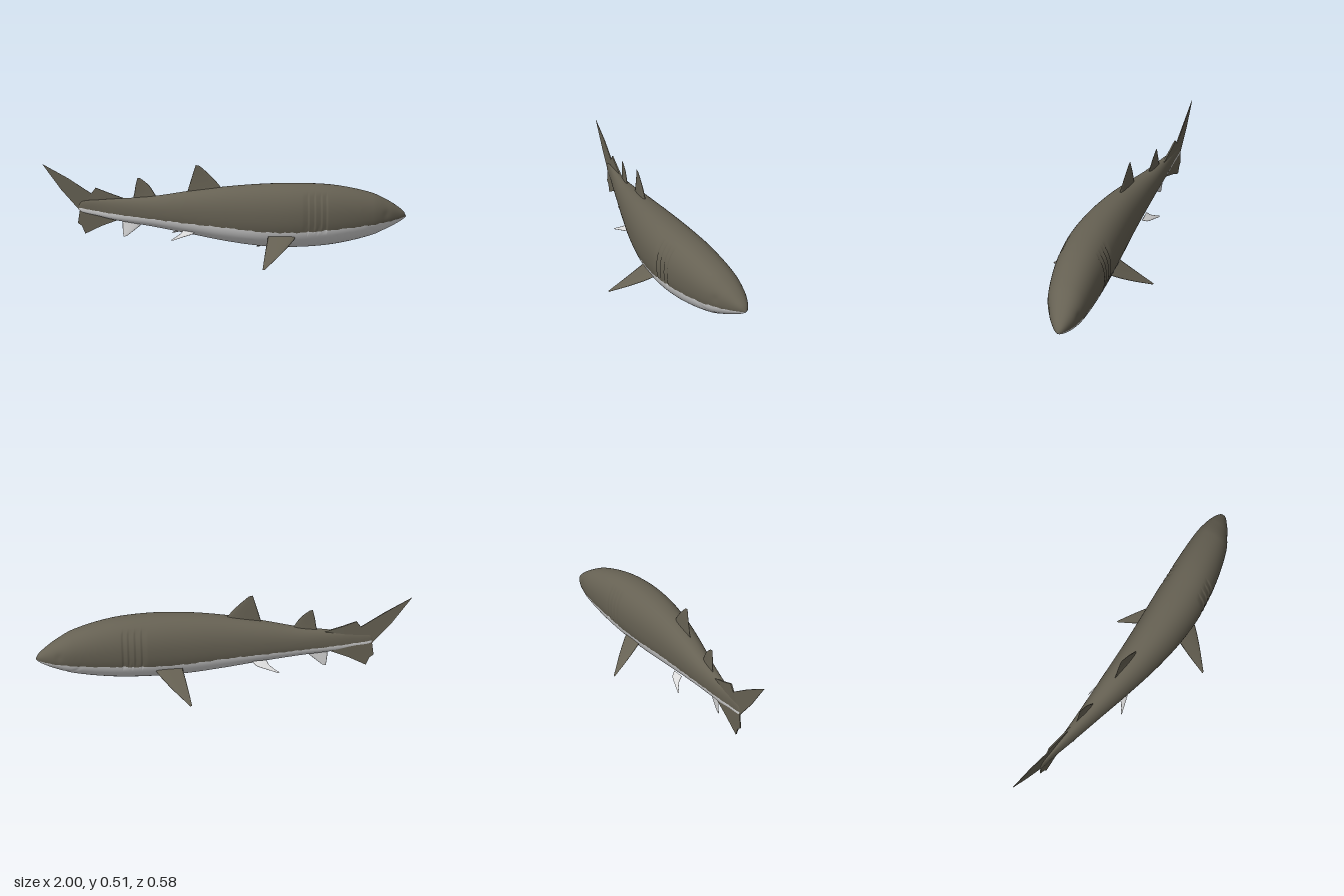
import * as THREE from 'three';

const dark = new THREE.MeshStandardMaterial({ color: 0x666153, side: THREE.DoubleSide });
dark.name = 'olive grey back';
const light = new THREE.MeshStandardMaterial({ color: 0xdadada, side: THREE.DoubleSide });
light.name = 'pale belly';

// Body stations: x, top y, bottom y, colour line y, z min, z max
const stations = [
  [-0.805, 0.275, 0.255, 0.265, -0.118, -0.112],
  [-0.79, 0.300, 0.243, 0.264, -0.121, -0.107],
  [-0.7, 0.311, 0.222, 0.250, -0.117, -0.088],
  [-0.6, 0.319, 0.200, 0.237, -0.116, -0.061],
  [-0.4, 0.336, 0.170, 0.219, -0.116, -0.008],
  [-0.2, 0.368, 0.135, 0.202, -0.118, 0.045],
  [0, 0.395, 0.098, 0.187, -0.121, 0.091],
  [0.2, 0.411, 0.072, 0.168, -0.130, 0.122],
  [0.4, 0.414, 0.066, 0.166, -0.141, 0.130],
  [0.6, 0.400, 0.080, 0.178, -0.148, 0.106],
  [0.8, 0.354, 0.120, 0.193, -0.148, 0.054],
  [0.9, 0.306, 0.158, 0.203, -0.135, 0.003],
  [0.96, 0.266, 0.187, 0.210, -0.116, -0.038],
  [0.988, 0.241, 0.204, 0.215, -0.100, -0.062],
  [1, 0.218, 0.214, 0.216, -0.084, -0.080],
];

// Smooth lookup of one station column
function sample(x, k) {
  let i = 0;
  while (i < stations.length - 2 && x > stations[i + 1][0]) i++;
  const slope = (n) => {
    const a = stations[Math.max(n - 1, 0)], b = stations[Math.min(n + 1, stations.length - 1)];
    return (b[k] - a[k]) / (b[0] - a[0]);
  };
  const p = stations[i], q = stations[i + 1], h = q[0] - p[0], t = (x - p[0]) / h;
  const t2 = t * t, t3 = t2 * t;
  return (2 * t3 - 3 * t2 + 1) * p[k] + (t3 - 2 * t2 + t) * h * slope(i)
    + (3 * t2 - 2 * t3) * q[k] + (t3 - t2) * h * slope(i + 1);
}

const bump = (v, c, w) => Math.exp(-(((v - c) / w) ** 2));

// Body: one smooth skin, split along the colour line by groups
function makeBody() {
  const rings = 361, up = 32, low = 24, around = up + low, n = 2.2;
  const pos = [], upper = [], lower = [];
  for (let i = 0; i < rings; i++) {
    const x = -0.805 + (1.805 * i) / (rings - 1);
    const [top, bot, line, z0, z1] = [1, 2, 3, 4, 5].map((k) => sample(x, k));
    const cy = (top + bot) / 2, hh = (top - bot) / 2, cz = (z0 + z1) / 2, hw = (z1 - z0) / 2;
    const ragged = (Math.sin(x * 61) + Math.sin(x * 143 + 1)) * 0.0015 * Math.min(1, hh * 10);
    const s = THREE.MathUtils.clamp((line + ragged - cy) / hh, -0.95, 0.95);
    const t0 = Math.asin(Math.sign(s) * Math.abs(s) ** (n / 2));
    for (let j = 0; j < around; j++) {
      const t = j < up ? t0 + ((Math.PI - 2 * t0) * j) / up
        : Math.PI - t0 + ((Math.PI + 2 * t0) * (j - up)) / low;
      const c = Math.cos(t), sn = Math.sin(t);
      let y = hh * Math.sign(sn) * Math.abs(sn) ** (2 / n);
      let z = hw * Math.sign(c) * Math.abs(c) ** (2 / n);
      // Gill folds, eye hollows and the mouth crease
      let d = 0;
      const Y = cy + y;
      if (x > 0.41 && x < 0.545 && Y > 0.17 && Y < 0.36) d += 0.035 * (((x - 0.41) / 0.033) % 1);
      d += 0.04 * bump(x, 0.875, 0.018) * bump(Y, 0.245, 0.02);
      if (sn < 0) d += 0.03 * bump(x, 0.87 - 0.12 * c * c, 0.012) * bump(Y, 0.15, 0.03);
      y *= 1 - d * 0.6;
      z *= 1 - d;
      pos.push(x, cy + y, cz + z);
      if (i < rings - 1) {
        const a = i * around + j, e = i * around + ((j + 1) % around);
        (j < up ? upper : lower).push(a, a + around, e + around, a, e + around, e);
      }
    }
  }
  const g = new THREE.BufferGeometry();
  g.setAttribute('position', new THREE.Float32BufferAttribute(pos, 3));
  g.setIndex([...upper, ...lower]);
  g.addGroup(0, upper.length, 0);
  g.addGroup(upper.length, lower.length, 1);
  g.computeVertexNormals();
  return new THREE.Mesh(g, [dark, light]);
}

// Fin: lens-shaped sections lofted between a leading and a trailing edge.
// The face on the normal's side is the upper one; paleTo is how far the lower face is pale.
function makeFin(lead, trail, normal, thick, mat, paleTo = 0) {
  const curve = (pts) => new THREE.CatmullRomCurve3(pts.map((p) => new THREE.Vector3(...p)), false, 'centripetal');
  const L = curve(lead), T = curve(trail), N = new THREE.Vector3(...normal).normalize();
  const rows = 16, k = 16, pos = [], main = [], pale = [];
  for (let r = 0; r <= rows; r++) {
    const a = L.getPoint(r / rows), b = T.getPoint(r / rows), th = thick * (1 - 0.9 * r / rows);
    for (let j = 0; j < k; j++) {
      const phi = (2 * Math.PI * j) / k, s = (1 - Math.cos(phi)) / 2;
      const p = a.clone().lerp(b, s).addScaledVector(N, th * Math.sin(phi) * (1.2 - s));
      pos.push(p.x, p.y, p.z);
      if (r < rows) {
        const q = r * k + j, e = r * k + ((j + 1) % k);
        (j >= k / 2 && r < paleTo * rows ? pale : main).push(q, q + k, e + k, q, e + k, e);
      }
    }
  }
  const g = new THREE.BufferGeometry();
  g.setAttribute('position', new THREE.Float32BufferAttribute(pos, 3));
  g.setIndex([...main, ...pale]);
  g.addGroup(0, main.length, 0);
  g.addGroup(main.length, pale.length, 1);
  g.computeVertexNormals();
  return new THREE.Mesh(g, [mat, light]);
}

// Tail fin: thin plate that follows the sideways bend of the body
function makeTail() {
  const outline = [[-1, 0.508], [-0.9, 0.366], [-0.80, 0.25], [-0.812, 0.18], [-0.79, 0.165], [-0.772, 0.12],
    [-0.68, 0.165], [-0.56, 0.21], [-0.54, 0.315], [-0.64, 0.35], [-0.71, 0.377], [-0.735, 0.345], [-0.86, 0.428]];
  const g = new THREE.ExtrudeGeometry(new THREE.Shape(outline.map((p) => new THREE.Vector2(...p))),
    { depth: 1, bevelEnabled: false });
  const p = g.attributes.position;
  for (let i = 0; i < p.count; i++) {
    const x = p.getX(i), u = (x + 1) / 0.46;
    p.setZ(i, -0.122 + 0.028 * u * u + (p.getZ(i) - 0.5) * (0.002 + 0.008 * u));
  }
  g.computeVertexNormals();
  return new THREE.Mesh(g, dark);
}

export function createModel() {
  const model = new THREE.Group();
  const add = (name, mesh) => { mesh.name = name; model.add(mesh); };

  add('body', makeBody());
  add('tailFin', makeTail());

  // Fins on the centre line
  add('frontDorsalFin', makeFin(
    [[-0.01, 0.37, -0.017], [-0.035, 0.405, -0.02], [-0.08, 0.455, -0.024], [-0.138, 0.507, -0.027]],
    [[-0.21, 0.35, -0.037], [-0.2, 0.385, -0.036], [-0.18, 0.45, -0.033], [-0.16, 0.512, -0.028]],
    [0, 0, 1], 0.012, dark));
  add('rearDorsalFin', makeFin(
    [[-0.37, 0.325, -0.062], [-0.385, 0.35, -0.065], [-0.415, 0.395, -0.07], [-0.46, 0.433, -0.074]],
    [[-0.505, 0.32, -0.084], [-0.498, 0.345, -0.082], [-0.49, 0.39, -0.078], [-0.478, 0.437, -0.075]],
    [0, 0, 1], 0.008, dark));
  add('analFin', makeFin(
    [[-0.45, 0.2, -0.065], [-0.465, 0.175, -0.068], [-0.5, 0.145, -0.074], [-0.54, 0.113, -0.08]],
    [[-0.565, 0.215, -0.09], [-0.565, 0.18, -0.088], [-0.563, 0.145, -0.085], [-0.56, 0.108, -0.081]],
    [0, 0, 1], 0.007, light));

  // Paired fins
  for (const s of [1, -1]) {
    const side = s > 0 ? 'left' : 'right';
    add(side + 'PectoralFin', makeFin(
      [[0.38, 0.152, 0.09], [0.365, 0.13, 0.12], [0.3, 0.075, 0.192], [0.197, 0.003, 0.288]].map(([x, y, z]) => [x, y, s * z]),
      [[0.23, 0.158, 0.09], [0.222, 0.133, 0.12], [0.205, 0.075, 0.192], [0.186, 0.003, 0.288]].map(([x, y, z]) => [x, y, s * z]),
      [0, 0.8, s * 0.6], 0.009, dark, 0.7));
    add(side + 'PelvicFin', makeFin(
      [[-0.15, 0.158, 0.05], [-0.175, 0.143, 0.075], [-0.23, 0.128, 0.093], [-0.285, 0.113, 0.108]].map(([x, y, z]) => [x, y, -0.053 + s * z]),
      [[-0.23, 0.165, 0.05], [-0.24, 0.148, 0.07], [-0.265, 0.132, 0.09], [-0.296, 0.115, 0.107]].map(([x, y, z]) => [x, y, -0.053 + s * z]),
      [0, 0.8, s * 0.6], 0.006, light));
  }
  return model;
}
